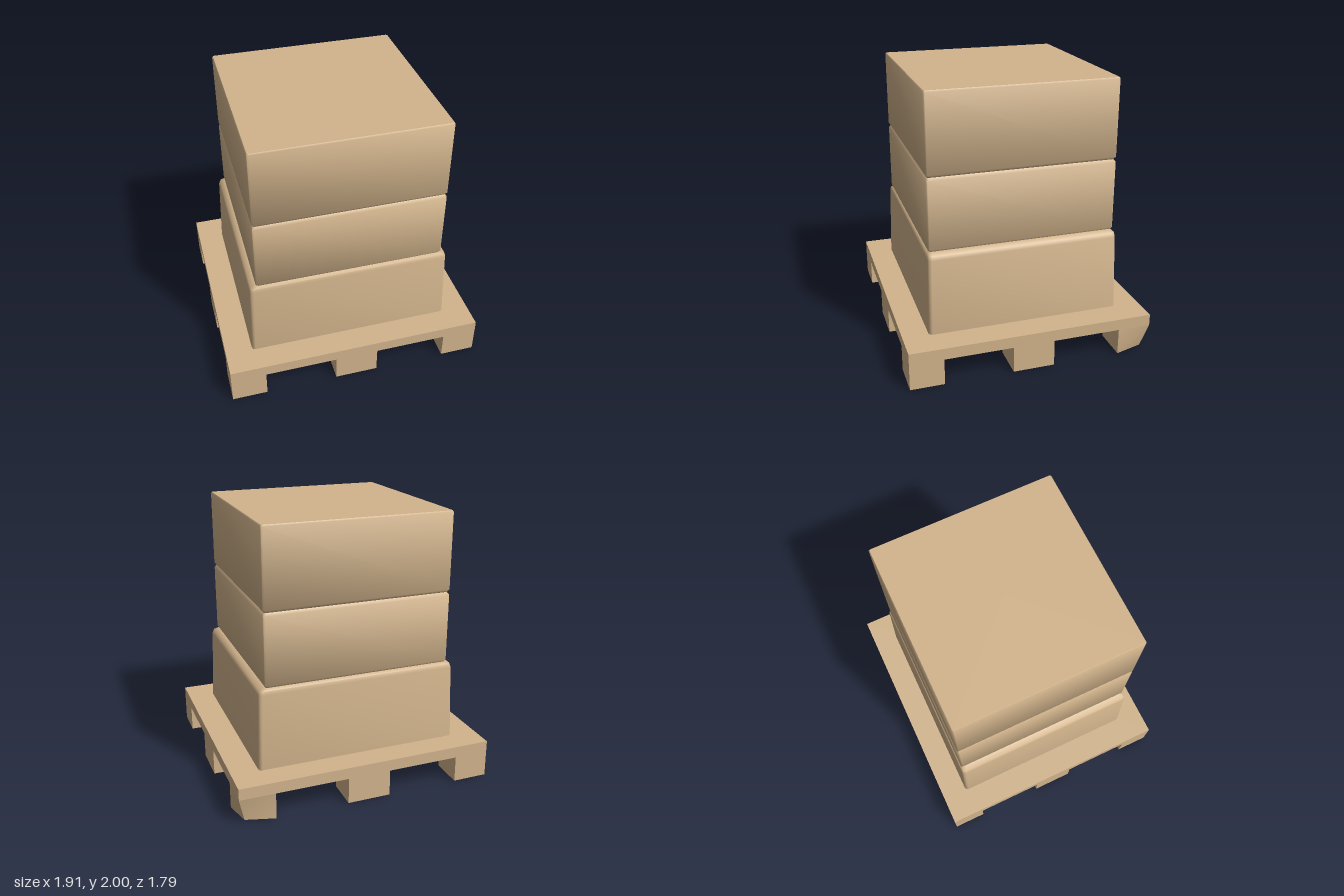
import * as THREE from 'three';
import { toCreasedNormals } from 'three/addons/utils/BufferGeometryUtils.js';

const cardboard = new THREE.MeshStandardMaterial({ color: 0xd2b48c });
cardboard.name = 'cardboard tan';

// Outline of a rounded rectangle, three points per corner
function outline(hx, hz, r) {
  const pts = [];
  [[1, 1], [-1, 1], [-1, -1], [1, -1]].forEach(([sx, sz], q) => {
    for (let i = 0; i < 3; i++) {
      const a = (q + i / 2) * Math.PI / 2;
      pts.push([sx * (hx - r) + r * Math.cos(a), sz * (hz - r) + r * Math.sin(a)]);
    }
  });
  return pts;
}

// Closed carton lofted through [y, halfWidth, halfDepth] sections
function carton(name, sections, r) {
  const pos = [];
  const tri = (...p) => p.forEach((v) => pos.push(...v));
  const rings = sections.map(([y, hx, hz]) => outline(hx, hz, r).map(([x, z]) => [x, y, z]));
  const n = rings[0].length;
  const top = rings[rings.length - 1];
  for (let i = 0; i < n; i++) {
    const j = (i + 1) % n;
    for (let k = 0; k + 1 < rings.length; k++) {
      const a = rings[k], b = rings[k + 1];
      tri(a[i], b[i], b[j]);
      tri(a[i], b[j], a[j]);
    }
    tri([0, top[0][1], 0], top[j], top[i]);
    tri([0, rings[0][0][1], 0], rings[0][i], rings[0][j]);
  }
  const geo = new THREE.BufferGeometry();
  geo.setAttribute('position', new THREE.Float32BufferAttribute(pos, 3));
  const mesh = new THREE.Mesh(toCreasedNormals(geo, 0.9), cardboard);
  mesh.name = name;
  return mesh;
}

function box(name, x0, x1, y0, y1, z0, z1) {
  const geo = new THREE.BoxGeometry(x1 - x0, y1 - y0, z1 - z0);
  geo.translate((x0 + x1) / 2, (y0 + y1) / 2, (z0 + z1) / 2);
  const mesh = new THREE.Mesh(geo, cardboard);
  mesh.name = name;
  return mesh;
}

export function createModel() {
  const model = new THREE.Group();
  model.name = 'loadedPallet';

  // Pallet: deck on eight blocks around the rim
  const pallet = new THREE.Group();
  pallet.name = 'pallet';
  pallet.add(box('deck', -0.955, 0.955, 0.2, 0.285, -0.895, 0.895));
  const xs = [[-0.955, -0.695], [-0.16, 0.16], [0.695, 0.955]];
  const zs = [[-0.895, -0.65], [-0.152, 0.152], [0.65, 0.895]];
  xs.forEach(([x0, x1], i) => zs.forEach(([z0, z1], j) => {
    if (i === 1 && j === 1) return;
    const foot = box('foot', x0, x1, 0.005, 0.2, z0, z1);
    // One worn foot with its outer bottom corner pushed in
    if (i === 2 && j === 0) {
      const p = foot.geometry.attributes.position;
      for (let k = 0; k < p.count; k++) {
        if (p.getX(k) > 0.9 && p.getZ(k) < -0.8 && p.getY(k) < 0.1) {
          p.setXYZ(k, 0.91, 0.015, -0.85);
        }
      }
      foot.geometry = toCreasedNormals(foot.geometry, 0.6);
    }
    pallet.add(foot);
  }));
  model.add(pallet);

  // Three stacked cartons, the lowest one tapered
  model.add(carton('lowerCarton', [
    [0.28, 0.757, 0.708], [0.84, 0.737, 0.694], [0.867, 0.727, 0.69], [0.885, 0.69, 0.672],
  ], 0.025));
  model.add(carton('middleCarton', [
    [0.88, 0.68, 0.67], [0.9, 0.692, 0.684], [1.395, 0.692, 0.684], [1.415, 0.678, 0.67],
  ], 0.012));
  model.add(carton('upperCarton', [
    [1.415, 0.678, 0.67], [1.435, 0.692, 0.684], [1.99, 0.692, 0.684], [2.0, 0.686, 0.678],
  ], 0.012));
  return model;
}
